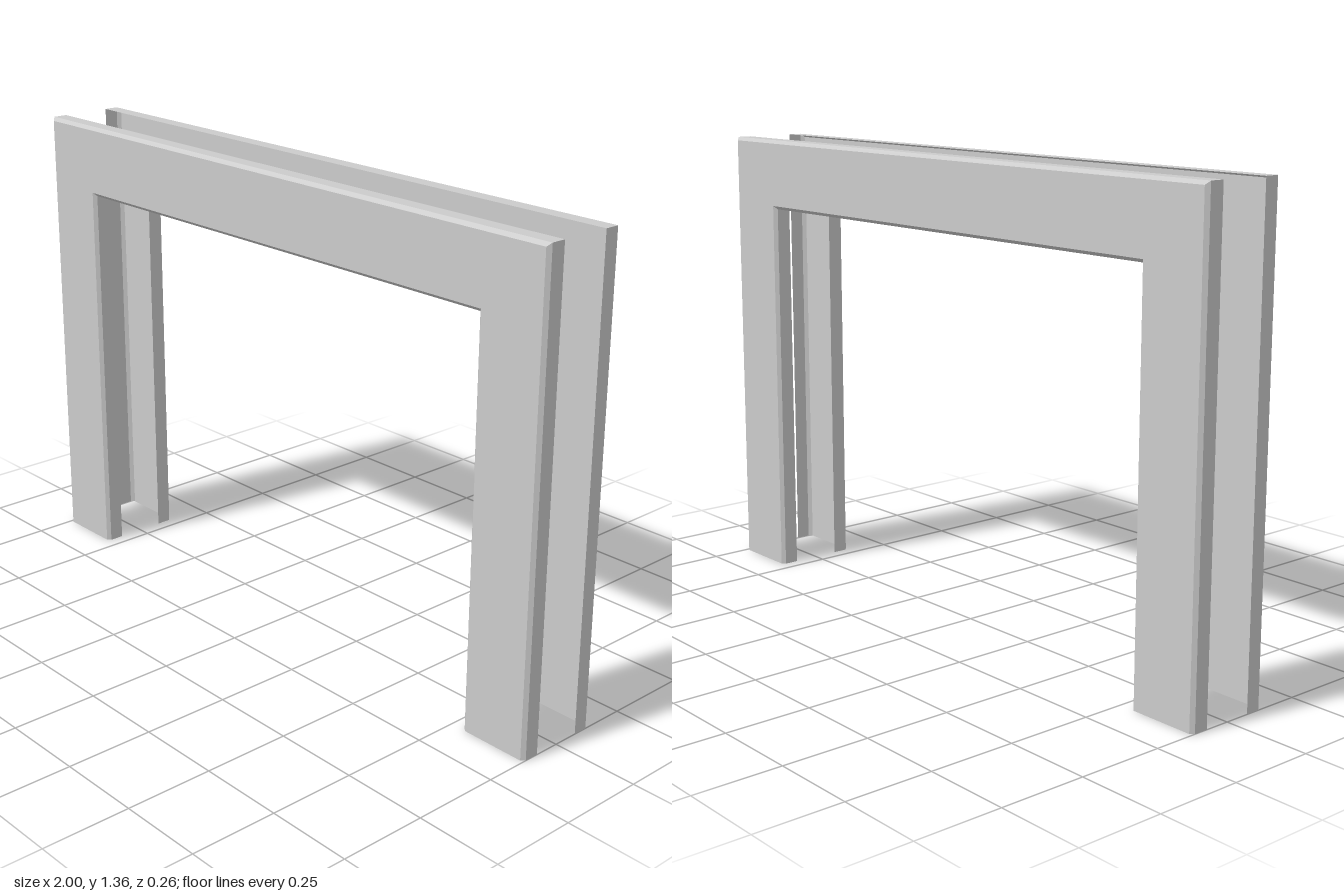
import * as THREE from 'three';

const HALF_WIDTH = 1, HEIGHT = 1.36, BOARD = 0.212, CHAMFER = 0.01;
const Z_BACK = 0.075, Z_FRONT = 0.128;

// Hollow casing section: [inset from the outer edge, z]
const SECTION = [
  [0, Z_BACK], [0, Z_FRONT - CHAMFER], [CHAMFER, Z_FRONT],
  [BOARD - CHAMFER, Z_FRONT], [BOARD, Z_FRONT - CHAMFER], [BOARD, Z_BACK],
];

// The section swept up one leg, across the head and down the other, mitred at the corners
function casingGeometry() {
  const rings = SECTION.map(([d, z]) => {
    const x = HALF_WIDTH - d, y = HEIGHT - d;
    return [[-x, 0, z], [-x, y, z], [x, y, z], [x, 0, z]];
  });
  const positions = [];
  for (let i = 0; i < rings.length - 1; i++) {
    for (let k = 0; k < 3; k++) {
      const a = rings[i][k], b = rings[i + 1][k];
      const c = rings[i + 1][k + 1], d = rings[i][k + 1];
      positions.push(...a, ...b, ...c, ...a, ...c, ...d);
    }
  }
  const geometry = new THREE.BufferGeometry();
  geometry.setAttribute('position', new THREE.Float32BufferAttribute(positions, 3));
  geometry.computeVertexNormals();
  return geometry;
}

export function createModel() {
  const group = new THREE.Group();
  group.name = 'doorCasing';
  const material = new THREE.MeshStandardMaterial({
    color: 0xcccccc, flatShading: true, side: THREE.DoubleSide,
  });
  const geometry = casingGeometry();

  // Matching casings facing away from each other on both sides of the wall
  const front = new THREE.Mesh(geometry, material);
  front.name = 'frontCasing';
  const back = new THREE.Mesh(geometry, material);
  back.name = 'backCasing';
  back.rotation.y = Math.PI;
  group.add(front, back);
  return group;
}
